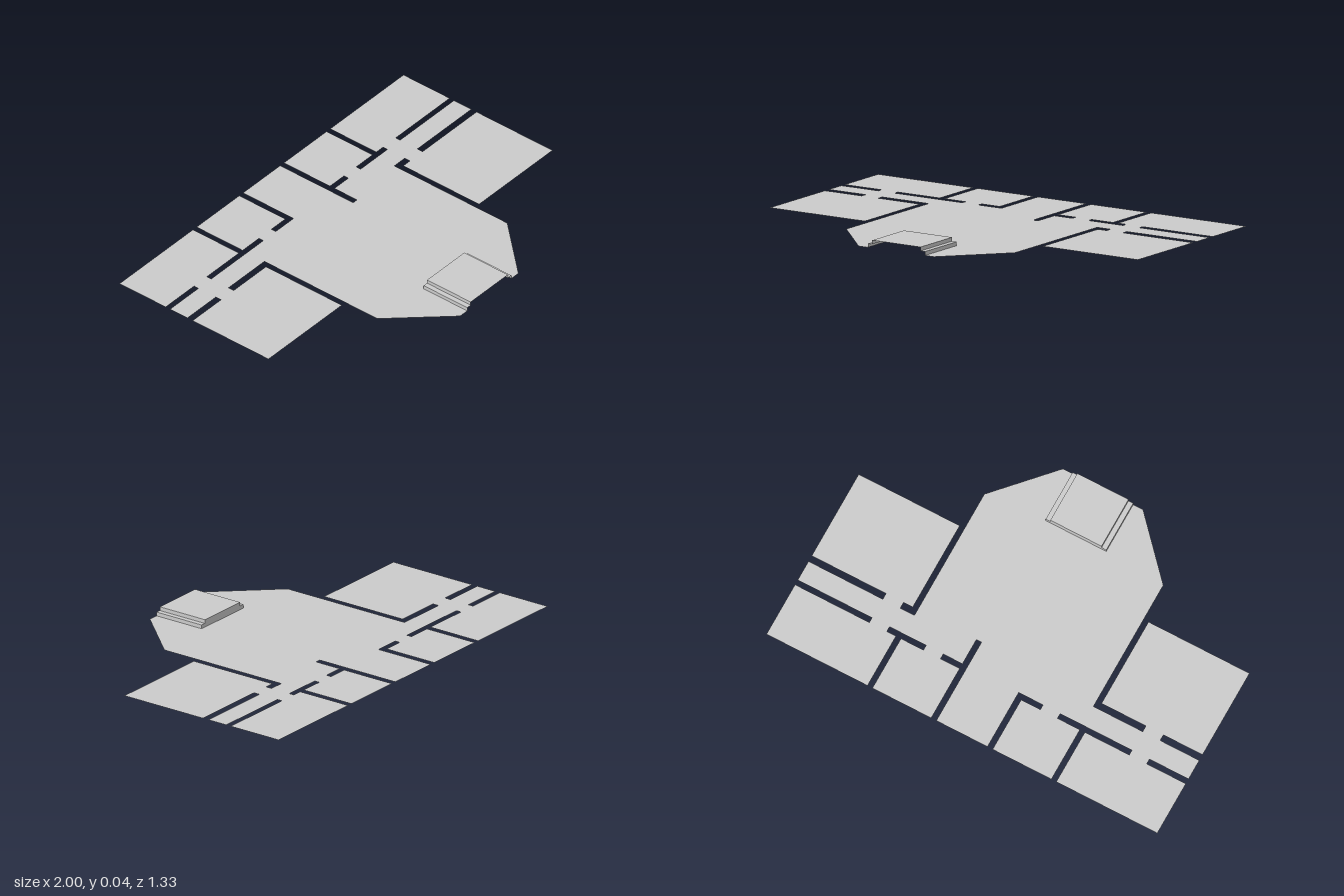
import * as THREE from 'three';

const material = new THREE.MeshStandardMaterial({ color: 0xcccccc, side: THREE.DoubleSide, flatShading: true });
const BACK = -0.667, FRONT = 0.665, NOTCH = 0.41;

// Outline of one half as [x, z], from the front notch round to the back middle.
// tabIn and tabOut bound the tabs joining the outer panels to the cross band.
function halfOutline(tabIn, tabOut, slitEnd) {
  return [
    // central panel with chamfered nose
    [0.155, NOTCH], [0.155, FRONT], [0.205, FRONT], [0.458, 0.39], [0.458, -0.27],
    // outer front panel
    [tabIn, -0.27], [tabIn, -0.24], [0.483, -0.24], [0.483, 0.204], [1, 0.204], [1, -0.24],
    [tabOut, -0.24], [tabOut, -0.27],
    // end of the cross band
    [1, -0.27], [1, -0.372], [tabOut, -0.372], [tabOut, -0.397],
    // outer back panel
    [1, -0.397], [1, BACK], [0.483, BACK], [0.483, -0.397], [tabIn, -0.397], [tabIn, -0.372],
    // inner back panel
    [0.343, -0.372], [0.343, -0.397], [0.458, -0.397], [0.458, BACK], [0.157, BACK],
    [0.157, -0.397], [0.255, -0.397], [0.255, -0.372],
    // slit beside the middle strip
    [0.157, -0.372], [0.157, slitEnd], [0.131, slitEnd], [0.131, BACK],
  ];
}

function createSheet() {
  const left = halfOutline(0.53, 0.62, -0.24);
  const right = halfOutline(0.71, 0.8, -0.372).map(([x, z]) => [-x, z]).reverse();
  const points = [...left, ...right].map(([x, z]) => new THREE.Vector2(x, -z));
  const geometry = new THREE.ShapeGeometry(new THREE.Shape(points)).rotateX(-Math.PI / 2);
  const sheet = new THREE.Mesh(geometry, material);
  sheet.name = 'flatSheet';
  return sheet;
}

// Raised stepped cover over the notch, open below and at the front
function createCover() {
  const half = [[-0.155, 0], [-0.155, 0.018], [-0.131, 0.018], [-0.131, 0.036]];
  const profile = [...half, ...half.map(([x, y]) => [-x, y]).reverse()];
  const positions = [];
  for (let i = 0; i < profile.length - 1; i++) {
    const p = profile[i], q = profile[i + 1];
    const a = [...p, FRONT], b = [...q, FRONT], c = [...q, NOTCH], d = [...p, NOTCH];
    positions.push(...a, ...b, ...c, ...a, ...c, ...d);
  }
  const shell = new THREE.BufferGeometry();
  shell.setAttribute('position', new THREE.Float32BufferAttribute(positions, 3));
  shell.computeVertexNormals();
  const top = new THREE.Mesh(shell, material);
  top.name = 'coverTopAndSteps';

  const wallShape = new THREE.Shape(profile.map(([x, y]) => new THREE.Vector2(x, y)));
  const wall = new THREE.Mesh(new THREE.ShapeGeometry(wallShape).rotateY(Math.PI).translate(0, 0, NOTCH), material);
  wall.name = 'coverBackWall';

  const cover = new THREE.Group();
  cover.name = 'raisedCover';
  cover.add(top, wall);
  return cover;
}

export function createModel() {
  const model = new THREE.Group();
  model.name = 'foldOutSheet';
  model.add(createSheet(), createCover());
  return model;
}
